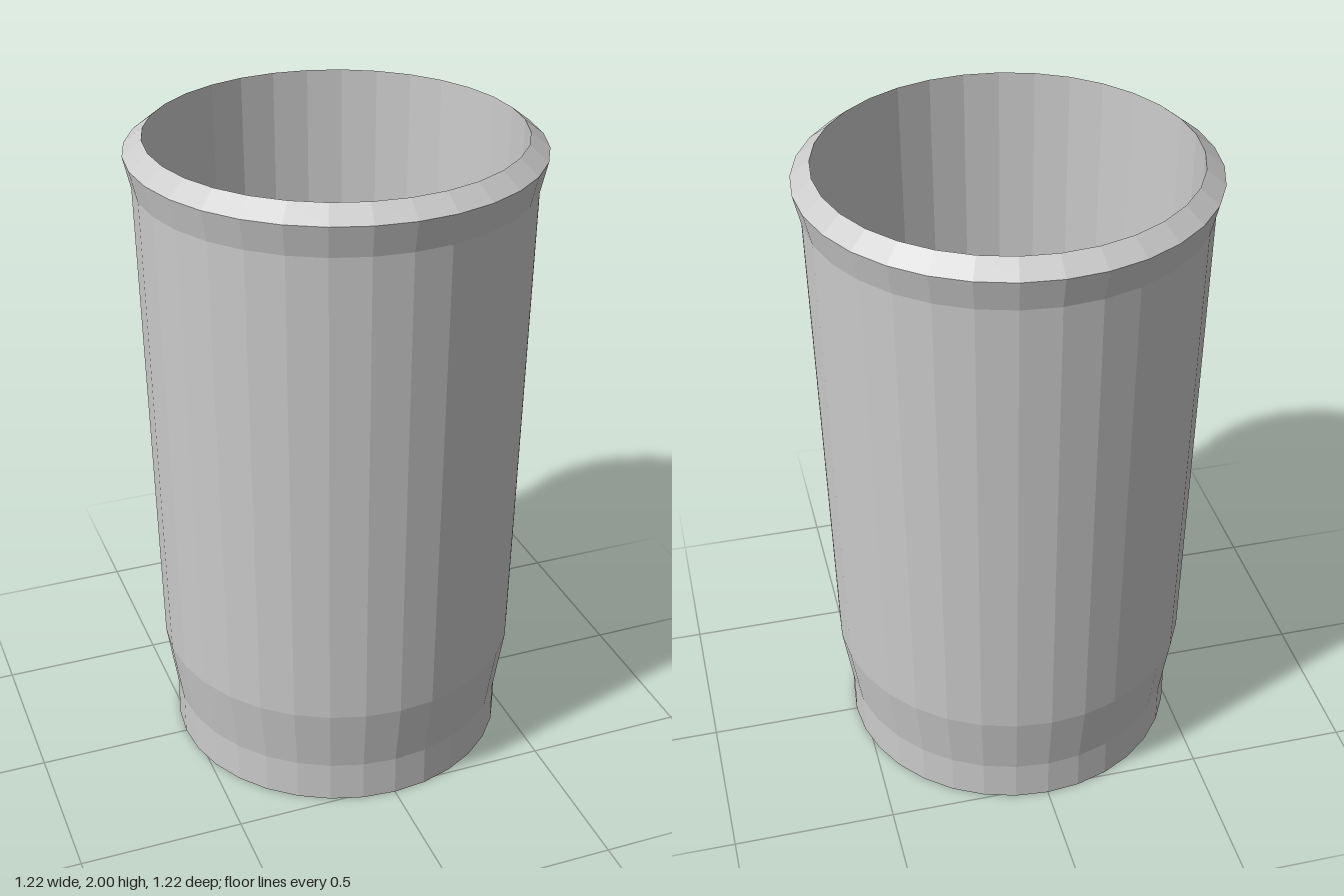
import * as THREE from 'three';

const SIDES = 32;

// Revolve a list of [radius, height] pairs into a faceted mesh.
function turned(name, profile, material) {
  const points = profile.map(([r, y]) => new THREE.Vector2(r, y));
  const mesh = new THREE.Mesh(new THREE.LatheGeometry(points, SIDES), material);
  mesh.name = name;
  return mesh;
}

export function createModel() {
  const group = new THREE.Group();
  group.name = 'cup';
  const material = new THREE.MeshStandardMaterial({ color: 0xcccccc, flatShading: true });

  // Underside, straight foot, flared shoulder and tapered wall
  group.add(turned('outerWall', [[0, 0], [0.526, 0], [0.526, 0.13], [0.558, 0.34], [0.588, 1.86]], material));

  // Lip: flares out, then bevels inward to the mouth
  group.add(turned('rim', [[0.588, 1.86], [0.61, 1.955], [0.553, 2]], material));

  // Hollow inside, down to the floor
  group.add(turned('innerWall', [[0.553, 2], [0.514, 0.05], [0, 0.05]], material));

  return group;
}
